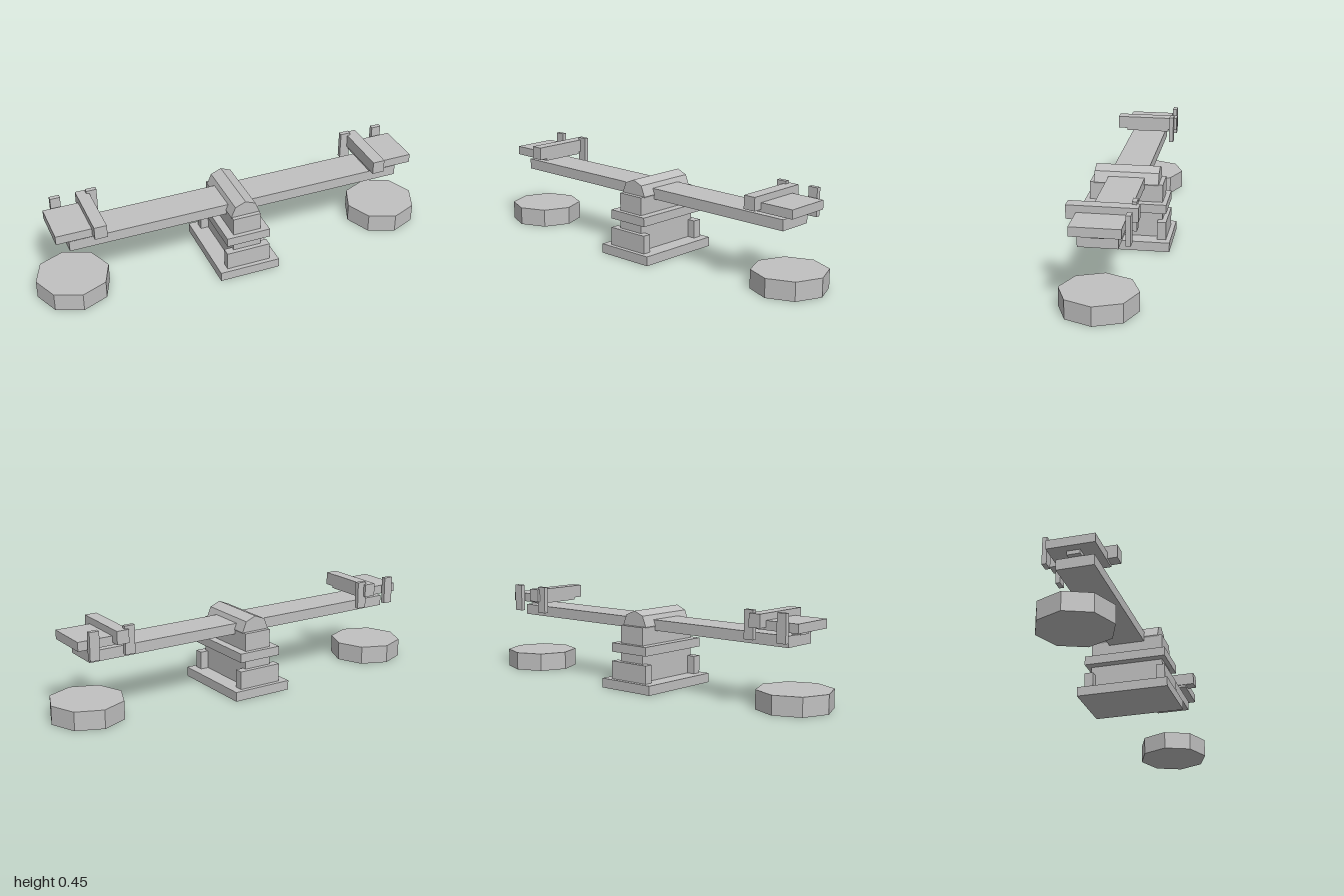
import * as THREE from 'three';

export function createModel() {
  const model = new THREE.Group();
  model.name = 'seesaw';
  const grey = new THREE.MeshStandardMaterial({ color: 0xc0c0c0, flatShading: true });
  grey.name = 'plain grey';

  const add = (name, geometry, x, y, z, parent = model) => {
    const mesh = new THREE.Mesh(geometry, grey);
    mesh.name = name;
    mesh.position.set(x, y, z);
    parent.add(mesh);
    return mesh;
  };
  // Box given by its limits along each axis
  const box = (name, [x0, x1], [y0, y1], [z0, z1], parent) =>
    add(name, new THREE.BoxGeometry(x1 - x0, y1 - y0, z1 - z0),
      (x0 + x1) / 2, (y0 + y1) / 2, (z0 + z1) / 2, parent);

  // Central stand
  box('basePlate', [-0.152, 0.152], [0, 0.046], [-0.222, 0.222]);
  box('column', [-0.07, 0.07], [0.046, 0.31], [-0.178, 0.178]);
  box('collar', [-0.11, 0.11], [0.179, 0.223], [-0.2, 0.2]);
  box('frontFoot', [-0.11, 0.11], [0.046, 0.134], [0.157, 0.2]);
  box('backFoot', [-0.11, 0.11], [0.046, 0.134], [-0.2, -0.157]);

  // Eight-sided pivot lying across the plank
  const pivot = new THREE.CylinderGeometry(0.073, 0.073, 0.314, 8).rotateX(Math.PI / 2);
  add('pivot', pivot, 0, 0.31, 0);

  box('plank', [-0.842, 0.842], [0.287, 0.339], [-0.088, 0.088]);

  // Seat, handle, posts and landing pad at each end
  for (const side of [1, -1]) {
    const end = new THREE.Group();
    end.name = side > 0 ? 'leftEnd' : 'rightEnd';
    model.add(end);
    const part = (name, [x0, x1], y, z) =>
      box(name, side > 0 ? [x0, x1] : [-x1, -x0], y, z, end);

    part('seat', [0.682, 0.908], [0.358, 0.401], [-0.112, 0.112]);
    part('seatSupport', [0.818, 0.866], [0.339, 0.358], [-0.031, 0.031]);
    part('handle', [0.678, 0.738], [0.37, 0.433], [-0.157, 0.157]);
    part('innerPost', [0.642, 0.692], [0.312, 0.446], [-0.144, -0.122]);
    part('outerPost', [0.818, 0.866], [0.312, 0.446], [-0.144, -0.122]);
    add('landingPad', new THREE.CylinderGeometry(0.178, 0.178, 0.09, 8), side * 0.822, 0.045, 0, end);
  }
  return model;
}
